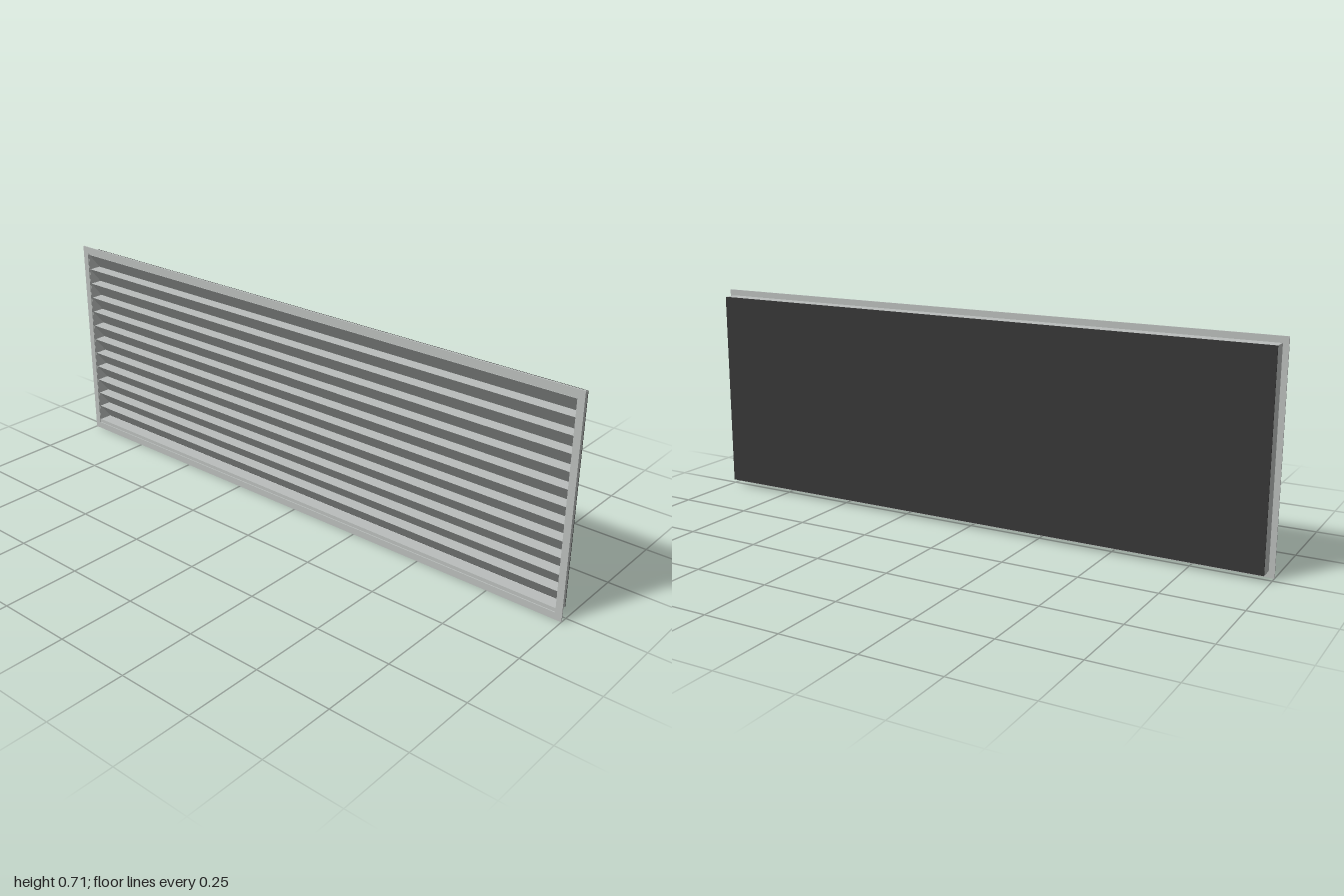
import * as THREE from 'three';

const W = 2, H = 0.71;            // flange size
const BW = 1.964, B0 = 0.02, B1 = 0.69;  // sleeve width, bottom, top
const FRONT = 0.022, BACK = -0.023;

// rectangular ring in the xy plane, extruded from z0 to z1
function ring(outer, inner, z0, z1) {
  const path = (P, [x, y0, y1]) => {
    P.moveTo(-x, y0);
    P.lineTo(x, y0);
    P.lineTo(x, y1);
    P.lineTo(-x, y1);
    P.closePath();
    return P;
  };
  const shape = path(new THREE.Shape(), outer);
  shape.holes.push(path(new THREE.Path(), inner));
  const g = new THREE.ExtrudeGeometry(shape, { depth: z1 - z0, bevelEnabled: false });
  g.translate(0, 0, z0);
  return g;
}

export function createModel() {
  const model = new THREE.Group();
  model.name = 'louverVent';
  const metal = new THREE.MeshStandardMaterial({ name: 'light grey metal', color: 0xb9bdbb });
  const dark = new THREE.MeshStandardMaterial({ name: 'dark backing', color: 0x363636 });
  const add = (name, geo, mat, parent = model) => {
    const m = new THREE.Mesh(geo, mat);
    m.name = name;
    parent.add(m);
    return m;
  };

  // thin front flange and the sleeve behind it
  const inner = [0.977, 0.035, 0.682];
  add('flange', ring([W / 2, 0, H], [0.978, 0.023, 0.687], FRONT, 0.0255), metal);
  add('sleeve', ring([BW / 2, B0, B1], inner, BACK, FRONT), metal);

  // closed back
  add('backPanel', new THREE.BoxGeometry(BW, B1 - B0, 0.0025).translate(0, (B0 + B1) / 2, BACK - 0.00125), dark);

  // louvers: flat ledge on top, face sloping down towards the back
  const louvers = new THREE.Group();
  louvers.name = 'louvers';
  model.add(louvers);
  const count = 12, top = 0.68, pitch = (top - 0.036) / count;
  const profile = new THREE.Shape([
    new THREE.Vector2(-0.02, 0),
    new THREE.Vector2(0.0225, -pitch),
    new THREE.Vector2(0.0225, 0),
  ]);
  const slat = new THREE.ExtrudeGeometry(profile, { depth: 1.954, bevelEnabled: false });
  slat.translate(0, 0, -0.977).rotateY(Math.PI / 2);
  for (let i = 0; i < count; i++) {
    add('louver', slat, metal, louvers).position.y = top - i * pitch;
  }
  return model;
}
